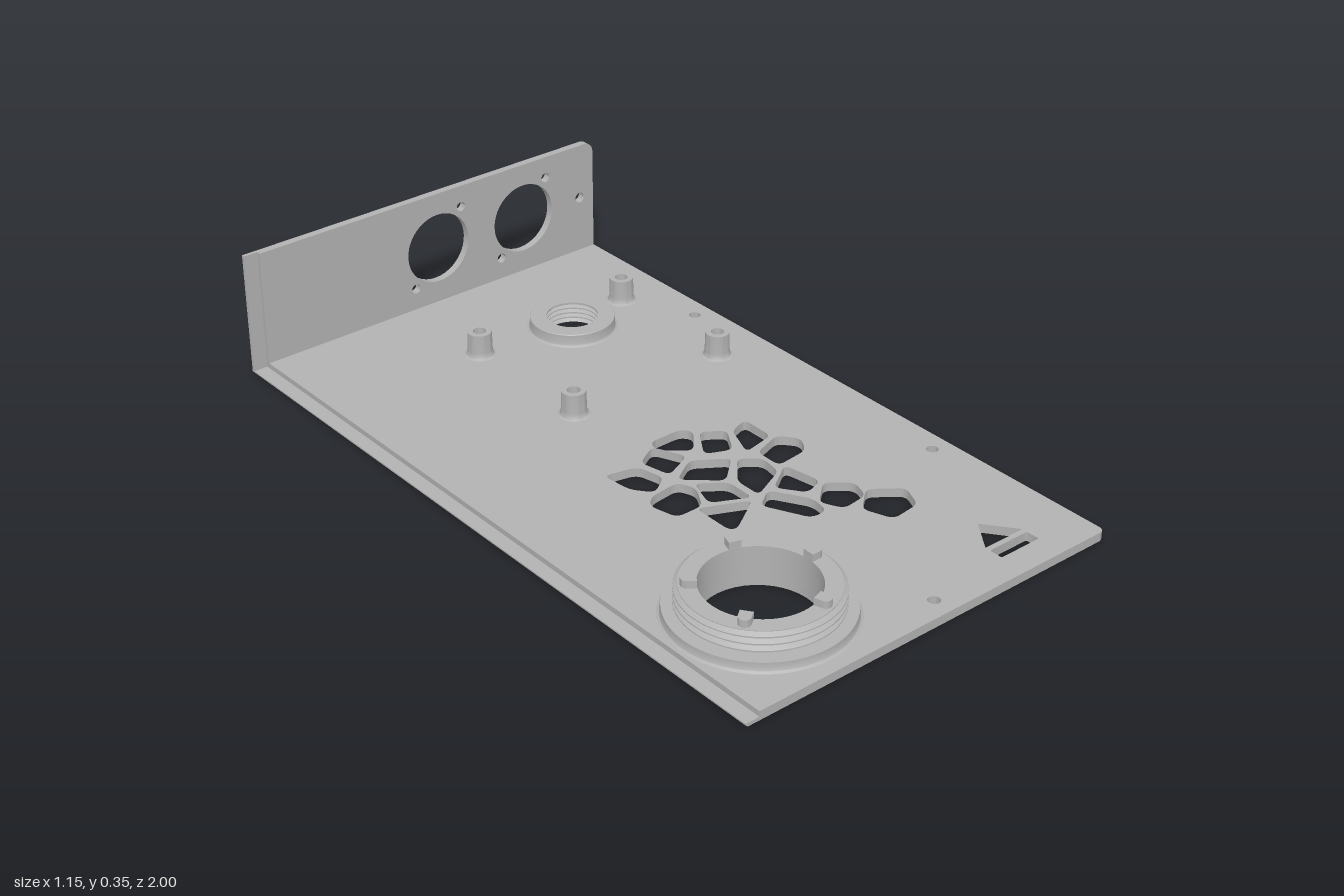
import * as THREE from 'three';
import { toCreasedNormals } from 'three/addons/utils/BufferGeometryUtils.js';

const FLOOR = 0.025; // floor plate thickness
const WALL = 0.022; // rear wall thickness
const LIP = 0.01; // thin rebate along the right edge

// Vent cells as x, z corner pairs in hundredths of a unit
const ventsNear = [
  [-1, -1, 9, -1, 11, 2, 5, 9, -2, 3],
  [-20, 4, -11, 6, -9, 14, -15, 18, -19, 13],
  [-9, 5, -2, 1, 2, 10, -7, 14],
  [12, 3, 18, 7, 13, 15, 6, 12],
  [19, 8, 25, 6, 25, 16, 15, 18],
  [-7, 17, 1, 12, 10, 18, 2, 25],
  [-17, 19, -8, 18, -6, 23, -10, 30, -18, 30, -20, 22]];
const ventsFar = [
  [-5, 21, 2, 26, 2, 35, -8, 30],
  [4, 27, 11, 19, 16, 23, 15, 30, 4, 35],
  [17, 20, 26, 17, 30, 22, 27, 27, 17, 28],
  [-12, 30, 1, 36, -10, 43, -12, 42],
  [9, 35, 18, 29, 20, 40, 14, 42],
  [1, 39, 7, 35, 13, 45, 12, 51, 7, 51],
  [13, 47, 20, 41, 26, 46, 24, 52, 16, 53],
  [19, 56, 26, 50, 34, 56, 31, 63, 22, 64]];

// Closed path with softened corners
function softPath(points, radius) {
  const path = new THREE.Path();
  const n = points.length;
  points.forEach((p, i) => {
    const toward = (q) => {
      const d = q.clone().sub(p);
      return p.clone().addScaledVector(d, Math.min(radius / d.length(), 0.45));
    };
    const a = toward(points[(i + n - 1) % n]);
    const b = toward(points[(i + 1) % n]);
    if (i === 0) path.moveTo(a.x, a.y); else path.lineTo(a.x, a.y);
    path.quadraticCurveTo(p.x, p.y, b.x, b.y);
  });
  path.closePath();
  return path;
}

function circle(x, y, r) {
  return new THREE.Path().absarc(x, y, r, 0, Math.PI * 2, true);
}

function polygon(pairs) {
  const pts = [];
  for (let i = 0; i < pairs.length; i += 2) pts.push(new THREE.Vector2(pairs[i], pairs[i + 1]));
  return pts;
}

function extrude(shape, depth) {
  return toCreasedNormals(
    new THREE.ExtrudeGeometry(shape, { depth, bevelEnabled: false, curveSegments: 20 }), 0.6);
}

function lathe(profile, segments) {
  return toCreasedNormals(new THREE.LatheGeometry(polygon(profile), segments), 0.45);
}

export function createModel() {
  const model = new THREE.Group();
  model.name = 'enclosurePanel';
  const grey = new THREE.MeshStandardMaterial({ color: 0xb2b2b2 });
  grey.name = 'plainGrey';

  function add(name, geometry, x = 0, y = 0, z = 0, parent = model) {
    const mesh = new THREE.Mesh(geometry, grey);
    mesh.name = name;
    mesh.position.set(x, y, z);
    parent.add(mesh);
    return mesh;
  }

  const left = -0.577, inner = -0.537, right = 0.575;
  const collarX = -0.291, collarZ = 0.725;
  const socketX = 0.22, socketZ = -0.624;

  // Floor plate, drawn as x and -z, with all its cut-outs
  const floor = new THREE.Shape();
  floor.moveTo(inner, 1 - WALL);
  floor.lineTo(inner, -1);
  floor.lineTo(right - 0.02, -1);
  floor.quadraticCurveTo(right, -1, right, -0.98);
  floor.lineTo(right, 1 - WALL);
  floor.closePath();
  floor.holes.push(circle(collarX, -collarZ, 0.146), circle(socketX, -socketZ, 0.083));
  for (const [x, z] of [[0.521, -0.457], [0.521, 0.471], [0.05, 0.945]]) {
    floor.holes.push(circle(x, -z, 0.016));
  }
  for (const cell of [...ventsNear, ...ventsFar]) {
    const pts = polygon(cell).map((p) => new THREE.Vector2(p.x / 100, -p.y / 100));
    floor.holes.push(softPath(pts, 0.022));
  }
  // Arrow and bar slots
  floor.holes.push(softPath(polygon([0.36, -0.785, 0.425, -0.87, 0.298, -0.87]), 0.005));
  floor.holes.push(softPath(polygon([0.298, -0.885, 0.425, -0.885, 0.425, -0.923, 0.298, -0.923]), 0.005));
  add('floorPlate', extrude(floor, FLOOR).rotateX(-Math.PI / 2));

  // Thin lip beside the floor, with a chamfered lower edge
  const lip = new THREE.Shape(polygon([left, 0.006, left + 0.006, 0, inner, 0, inner, LIP, left, LIP]));
  add('floorLip', extrude(lip, 2 - LIP), 0, 0, -1 + LIP);

  // Rear wall with round openings and screw holes
  const top = 0.355;
  const wall = new THREE.Shape();
  wall.moveTo(inner, 0);
  wall.lineTo(right, 0);
  wall.lineTo(right, top - 0.03);
  wall.absarc(right - 0.03, top - 0.03, 0.03, 0, Math.PI / 2, false);
  wall.lineTo(inner, top);
  wall.closePath();
  for (const x of [0.028, 0.323]) {
    wall.holes.push(circle(x, 0.19, 0.102));
    wall.holes.push(circle(x + 0.081, 0.292, 0.014), circle(x - 0.081, 0.088, 0.014));
  }
  wall.holes.push(circle(0.526, 0.192, 0.015));
  add('rearWall', extrude(wall, WALL), 0, 0, -1);
  const wallLip = new THREE.Shape(polygon([left, 0.006, left + 0.006, 0, inner, 0, inner, top, left, top]));
  add('rearWallLip', extrude(wallLip, LIP), 0, 0, -1);

  // Large threaded collar
  const collar = new THREE.Group();
  collar.name = 'threadedCollar';
  collar.position.set(collarX, 0, collarZ);
  model.add(collar);
  const collarProfile = [0.237, FLOOR, 0.231, 0.029, 0.228, 0.036, 0.228, 0.05, 0.19, 0.05];
  for (let i = 0; i < 3; i++) {
    const y = 0.052 + i * 0.019;
    collarProfile.push(0.19, y, 0.201, y + 0.007, 0.201, y + 0.01, 0.19, y + 0.017);
  }
  collarProfile.push(0.19, 0.109, 0.146, 0.109, 0.146, FLOOR);
  add('collarRing', lathe(collarProfile, 72), 0, 0, 0, collar);

  // Five locating nubs, rounded on the outer end
  const nubShape = new THREE.Shape();
  nubShape.moveTo(0.146, -0.016);
  nubShape.lineTo(0.168, -0.016);
  nubShape.absarc(0.168, 0, 0.016, -Math.PI / 2, Math.PI / 2, false);
  nubShape.lineTo(0.146, 0.016);
  nubShape.closePath();
  const nub = extrude(nubShape, 0.024).rotateX(-Math.PI / 2);
  for (let i = 0; i < 5; i++) {
    add('collarNub', nub, 0, 0.105, 0, collar).rotation.y = (i * Math.PI * 2) / 5;
  }

  // Small socket with an inner thread
  const socketProfile = [0.125, FLOOR, 0.119, 0.029, 0.117, 0.035, 0.117, 0.058, 0.115, 0.06, 0.071, 0.06];
  for (let i = 0; i < 4; i++) {
    const y = 0.058 - i * 0.014;
    socketProfile.push(0.071, y, 0.071, y - 0.003, 0.08, y - 0.007, 0.08, y - 0.009);
  }
  socketProfile.push(0.071, 0, 0.083, 0);
  // The last step closes the ring flush with the underside
  add('threadedSocket', lathe(socketProfile, 56), socketX, 0, socketZ);

  // Four screw posts with blind holes
  const post = lathe([0.044, FLOOR, 0.038, 0.028, 0.035, 0.034, 0.034, 0.042, 0.033, 0.095,
    0.018, 0.095, 0.016, 0.045, 0, 0.045], 32);
  for (const x of [-0.068, 0.423]) {
    for (const z of [-0.66, -0.249]) add('screwPost', post, x, 0, z);
  }
  return model;
}
